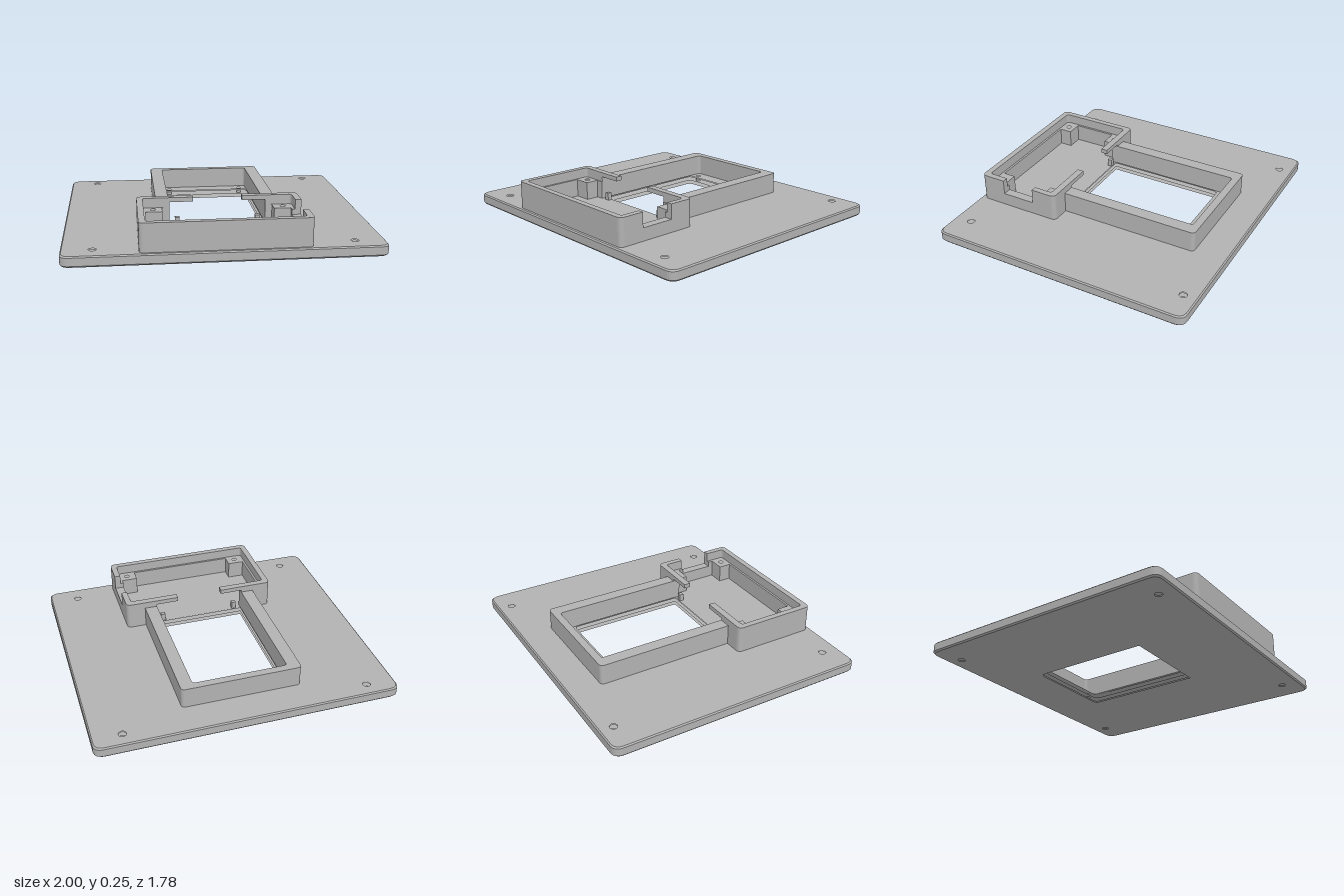
import * as THREE from 'three';

const grey = new THREE.MeshStandardMaterial({ color: 0xb2b2b2 });
grey.name = 'light grey';

// Trace a closed path of [x, z, cornerRadius] points
function trace(points, path) {
  const P = points.map(([x, z, r = 0]) => ({ v: new THREE.Vector2(x, -z), r }));
  const n = P.length;
  P.forEach(({ v, r }, i) => {
    const toward = (o) => o.clone().sub(v).setLength(r).add(v);
    const a = r ? toward(P[(i + n - 1) % n].v) : v;
    if (i === 0) path.moveTo(a.x, a.y); else path.lineTo(a.x, a.y);
    if (r) {
      const b = toward(P[(i + 1) % n].v);
      path.quadraticCurveTo(v.x, v.y, b.x, b.y);
    }
  });
  path.closePath();
  return path;
}

function circle(x, z, r) {
  const p = new THREE.Path();
  p.absarc(x, -z, r, 0, Math.PI * 2, true);
  return p;
}

// Horizontal layer between two heights
function layer(points, y0, y1, holes = []) {
  const shape = trace(points, new THREE.Shape());
  shape.holes.push(...holes);
  const g = new THREE.ExtrudeGeometry(shape, { depth: y1 - y0, bevelEnabled: false, curveSegments: 8 });
  g.rotateX(-Math.PI / 2);
  g.translate(0, y0, 0);
  return g;
}

// Pull in the outer edge at one height to make a chamfer
function chamfer(g, y) {
  const p = g.attributes.position;
  for (let i = 0; i < p.count; i++) {
    const x = p.getX(i), z = p.getZ(i);
    if (Math.abs(p.getY(i) - y) < 0.001 && (Math.abs(x) > 0.9 || Math.abs(z) > 0.85)) {
      p.setX(i, x * 0.992);
      p.setZ(i, z * 0.991);
    }
  }
  g.computeVertexNormals();
  return g;
}

export function createModel() {
  const model = new THREE.Group();
  model.name = 'mountingPanel';
  const part = (name, ...geometries) => {
    const group = new THREE.Group();
    group.name = name;
    geometries.forEach((g) => {
      const m = new THREE.Mesh(g, grey);
      m.name = name;
      group.add(m);
    });
    model.add(group);
  };

  // Base plate: window, four through holes, two blind screw holes
  const plate = [[-1, -0.89, 0.06], [1, -0.89, 0.06], [1, 0.89, 0.06], [-1, 0.89, 0.06]];
  const cuts = [
    trace([[-0.315, -0.52, 0.04], [0.315, -0.52, 0.04], [0.315, 0.3], [-0.315, 0.3]], new THREE.Path()),
  ];
  for (const x of [-0.807, 0.807]) for (const z of [-0.795, 0.77]) cuts.push(circle(x, z, 0.025));
  const topCuts = [...cuts, circle(-0.265, -0.56, 0.017), circle(0.265, -0.56, 0.017)];
  part('basePlate',
    chamfer(layer(plate, 0, 0.01, cuts), 0),
    layer(plate, 0.01, 0.035, cuts),
    layer(plate, 0.035, 0.062, topCuts),
    chamfer(layer(plate, 0.062, 0.07, topCuts), 0.07));

  // U-shaped rear frame around the window
  part('rearFrame', layer([
    [0.4, 0.29], [0.4, -0.67, 0.03], [-0.4, -0.67, 0.03], [-0.4, 0.29],
    [-0.315, 0.29], [-0.315, -0.62, 0.02], [0.315, -0.62, 0.02], [0.315, 0.29]], 0.07, 0.21));

  // Front box outlines, open at the back by twice the gap
  const R = 0.035;
  const outerRight = (g) => [[g, 0.285], [0.53, 0.285, R]];
  const outerRest = (g) => [[0.53, 0.865, R], [-0.53, 0.865, R], [-0.53, 0.285, R], [-g, 0.285]];
  // Lower cavity steps in around the corner posts
  const postInner = [
    [-0.315, 0.335], [-0.365, 0.335], [-0.365, 0.425], [-0.475, 0.425],
    [-0.475, 0.725], [-0.365, 0.725], [-0.365, 0.81],
    [0.36, 0.81], [0.36, 0.725], [0.47, 0.725]];
  const postInnerRight = [[0.47, 0.425], [0.36, 0.425], [0.36, 0.335], [0.315, 0.335]];
  // Upper cavity is wider, leaving a seat for a lid
  const seatInner = (g) => [[-g, 0.33], [-0.49, 0.33, 0.02], [-0.49, 0.825, 0.02], [0.49, 0.825, 0.02]];
  const seatInnerRight = (g) => [[0.49, 0.33, 0.02], [g, 0.33]];

  // Wall split in two by the side notch
  const notched = (g, inner, innerRight, x, y0, y1, screws = false) => {
    const hole = (sx, z) => (screws ? [circle(sx, z, 0.017)] : []);
    return [
      layer([...outerRight(g), [0.53, 0.46], [x, 0.46], ...innerRight], y0, y1, hole(0.425, 0.375)),
      layer([[0.53, 0.69], ...outerRest(g), ...inner, [x, 0.69]], y0, y1,
        [...hole(0.425, 0.775), ...hole(-0.425, 0.775), ...hole(-0.425, 0.375)]),
    ];
  };
  const gap = 0.315;
  part('boxLowerWall', layer(
    [...outerRight(gap), ...outerRest(gap), ...postInner, ...postInnerRight], 0.07, 0.155));
  part('boxCornerPosts',
    ...notched(gap, postInner, postInnerRight, 0.47, 0.155, 0.19, true));
  part('boxLidRim',
    ...notched(gap, seatInner(gap), seatInnerRight(gap), 0.49, 0.19, 0.225));
  // Top of the rim reaches over the window as two short bars
  part('boxTopRim',
    ...notched(0.16, seatInner(0.16), seatInnerRight(0.16), 0.49, 0.225, 0.255));

  // Small stubs on the floor edge
  for (const s of [-1, 1]) {
    const stub = new THREE.BoxGeometry(0.03, 0.05, 0.03);
    stub.translate(s * 0.265, 0.095, 0.317);
    part(s > 0 ? 'leftStub' : 'rightStub', stub);
  }
  return model;
}
